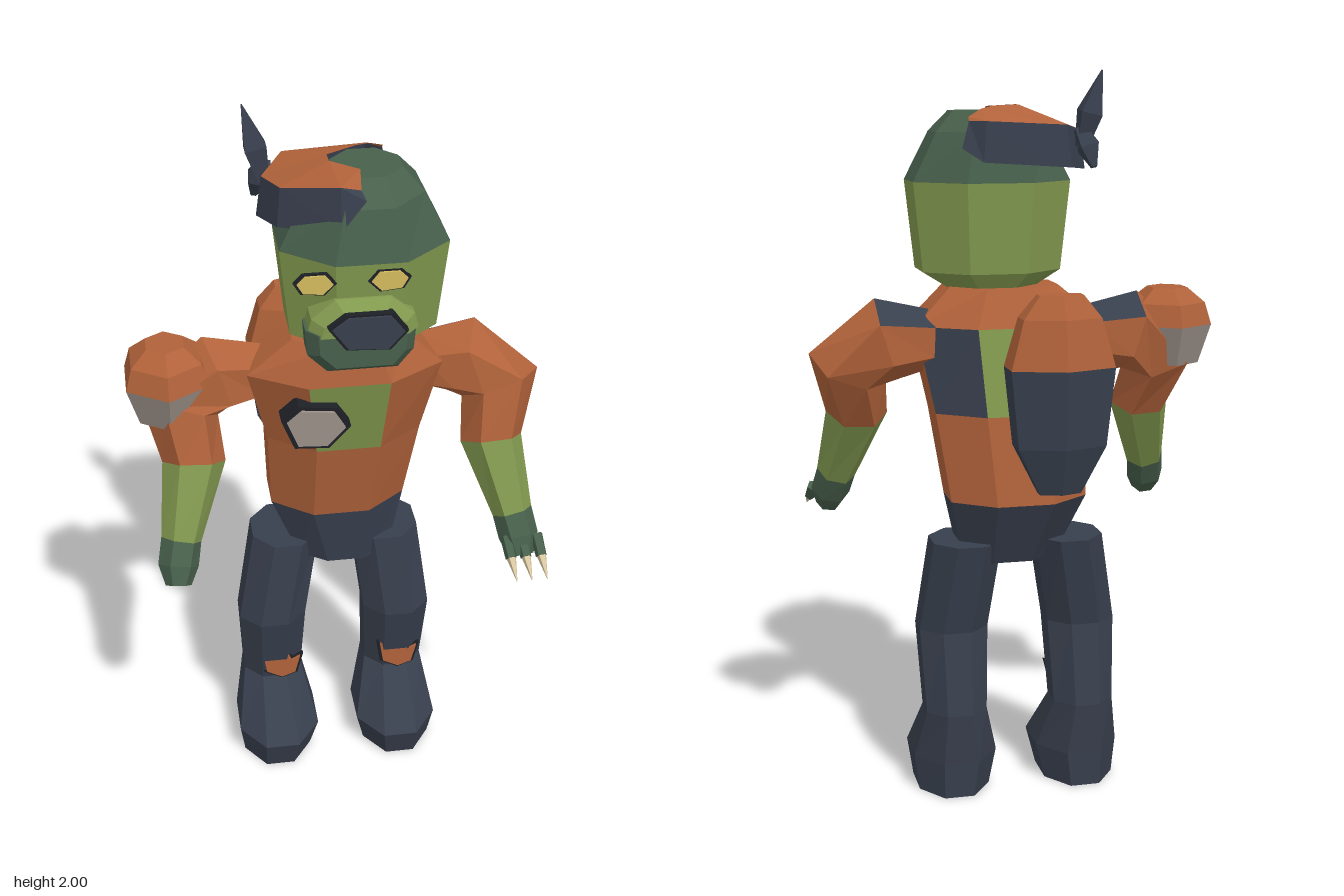
import * as THREE from 'three';

const mat = (name, color) => {
  const m = new THREE.MeshStandardMaterial({ color, flatShading: true, side: THREE.DoubleSide });
  m.name = name;
  return m;
};
const V = (x, y, z) => new THREE.Vector3(x, y, z);

export function createModel() {
  const root = new THREE.Group();
  const rust = mat('rust cloth', 0xb0623a);
  const green = mat('green skin', 0x82994f);
  const moss = mat('dark green skin', 0x48604c);
  const navy = mat('navy cloth', 0x383f4d);
  const dark = mat('dark outline', 0x1d2026);
  const gray = mat('gray metal', 0x9a9087);
  const yellow = mat('yellow eye', 0xd4b95c);
  const bone = mat('bone claw', 0xd8c6a0);

  const add = (name, geo, material, parent = root) => {
    const m = new THREE.Mesh(geo, material);
    m.name = name;
    parent.add(m);
    return m;
  };

  // Skin a list of rings; pick(segment, normal) chooses each face's material.
  function loft(name, rings, pick, parent = root) {
    const buckets = new Map();
    const tri = (m, a, b, c) => {
      if (!buckets.has(m)) buckets.set(m, []);
      buckets.get(m).push(...a, ...b, ...c);
    };
    const n = rings[0].length;
    for (let r = 0; r < rings.length - 1; r++) {
      for (let i = 0; i < n; i++) {
        const j = (i + 1) % n;
        const a = rings[r][i], b = rings[r][j], c = rings[r + 1][j], d = rings[r + 1][i];
        const normal = c.clone().sub(a).cross(d.clone().sub(b)).normalize();
        const m = pick(r, normal);
        tri(m, a, b, c);
        tri(m, a, c, d);
      }
    }
    const last = rings.length - 1;
    const first = rings[0], end = rings[last];
    for (let i = 1; i < n - 1; i++) {
      tri(pick(0, V(0, -1, 0)), first[0], first[i + 1], first[i]);
      tri(pick(last - 1, V(0, 1, 0)), end[0], end[i], end[i + 1]);
    }
    const g = new THREE.BufferGeometry(), all = [];
    [...buckets.values()].forEach((p, k) => {
      g.addGroup(all.length / 3, p.length / 3, k);
      for (const v of p) all.push(v);
    });
    g.setAttribute('position', new THREE.Float32BufferAttribute(all, 3));
    g.computeVertexNormals();
    return add(name, g, [...buckets.keys()], parent);
  }

  // Level ring filling the box x0..x1, z0..z1.
  function ring(y, x0, x1, z0, z1, n = 8, turn = Math.PI / n) {
    const ang = Array.from({ length: n }, (_, i) => turn + (i / n) * Math.PI * 2);
    const mx = Math.max(...ang.map(a => Math.abs(Math.cos(a))));
    const mz = Math.max(...ang.map(a => Math.abs(Math.sin(a))));
    return ang.map(a => V((x0 + x1) / 2 + (x1 - x0) / 2 * Math.cos(a) / mx, y,
      (z0 + z1) / 2 - (z1 - z0) / 2 * Math.sin(a) / mz));
  }

  // Rings square to a path of [x, y, z, radius].
  function pathRings(path, n) {
    return path.map((p, i) => {
      const a = path[Math.max(i - 1, 0)], b = path[Math.min(i + 1, path.length - 1)];
      const t = V(b[0] - a[0], b[1] - a[1], b[2] - a[2]).normalize();
      const u = V(0, 0, 1).addScaledVector(t, -t.z).normalize();
      const v = t.clone().cross(u);
      return Array.from({ length: n }, (_, k) => {
        const q = (k + 0.5) / n * Math.PI * 2;
        return V(p[0], p[1], p[2]).addScaledVector(u, Math.cos(q) * p[3]).addScaledVector(v, Math.sin(q) * p[3]);
      });
    });
  }

  // Flat plate from outline points around a centre, facing +z.
  function plate(name, cx, cy, z, pts, scale, depth, material) {
    const s = new THREE.Shape(pts.map(p => new THREE.Vector2(p[0] * scale, p[1] * scale)));
    const m = add(name, new THREE.ExtrudeGeometry(s, { depth, bevelEnabled: false }), material);
    m.position.set(cx, cy, z);
    return m;
  }

  // Torso, with skin showing through the chest and back
  loft('torso', [
    ring(0.68, -0.1, 0.16, -0.13, 0.05), ring(0.86, -0.175, 0.2, -0.215, 0.07),
    ring(1.1, -0.185, 0.235, -0.19, 0.115), ring(1.33, -0.24, 0.28, -0.15, 0.17),
    ring(1.43, -0.12, 0.18, -0.1, 0.15)
  ], (r, n) => {
    if (r === 0) return navy;
    if (r === 2 && Math.abs(n.z) > 0.85) return green;
    if (r === 2 && n.z < -0.3 && Math.abs(n.x) > 0.4) return navy;
    return rust;
  });

  // Head
  loft('head', [
    ring(1.42, -0.05, 0.17, -0.07, 0.15), ring(1.47, -0.13, 0.25, -0.105, 0.215),
    ring(1.71, -0.155, 0.275, -0.125, 0.237), ring(1.84, -0.09, 0.21, -0.1, 0.205),
    ring(1.895, -0.01, 0.16, -0.04, 0.14)
  ], r => (r < 2 ? green : moss));

  // Muzzle, jaw and mouth
  const muzzle = (name, pts, z, s, m) => loft(name, [
    pts.map(p => V(p[0], p[1], 0.17)), pts.map(p => V(p[0], p[1], 0.235)),
    pts.map(p => V(0.04 + (p[0] - 0.04) * s, 1.54 + (p[1] - 1.54) * s, z))
  ], () => m);
  muzzle('upperLip', [[-0.1, 1.53], [0.18, 1.53], [0.17, 1.57], [0.11, 1.62], [-0.03, 1.62], [-0.09, 1.57]], 0.272, 0.78, green);
  muzzle('jaw', [[-0.105, 1.54], [-0.1, 1.47], [-0.05, 1.42], [0.13, 1.42], [0.17, 1.47], [0.175, 1.54]], 0.268, 0.8, moss);
  const mouth = [[-0.09, 0.015], [-0.05, -0.04], [0.05, -0.045], [0.09, 0], [0.055, 0.045], [-0.05, 0.045]];
  plate('mouthRim', 0.045, 1.552, 0.265, mouth, 1.12, 0.025, dark);
  plate('mouth', 0.045, 1.552, 0.29, mouth, 1, 0.006, navy);

  // Eyes
  const eye = [[-0.045, 0.005], [-0.03, -0.02], [0.02, -0.025], [0.045, 0], [0.025, 0.025], [-0.025, 0.025]];
  for (const [x, s] of [[-0.08, 1], [0.105, -1]]) {
    const pts = s > 0 ? eye : eye.map(p => [-p[0], p[1]]);
    plate('eyeRim', x, 1.665, 0.228, pts, 1.2, 0.008, dark);
    plate('eye', x, 1.665, 0.236, pts, 1, 0.006, yellow);
  }

  // Torn head cloth: navy band round one side, rust cloth up to a ragged edge
  function strip(name, a, b, m) {
    const pos = [];
    for (let i = 0; i < a.length - 1; i++) {
      pos.push(...a[i], ...a[i + 1], ...b[i + 1], ...a[i], ...b[i + 1], ...b[i]);
    }
    const g = new THREE.BufferGeometry();
    g.setAttribute('position', new THREE.Float32BufferAttribute(pos, 3));
    g.computeVertexNormals();
    add(name, g, m);
  }
  const bandTop = [[0.04, 1.885, 0.19], [-0.01, 1.895, 0.19], [-0.145, 1.86, 0.09], [-0.18, 1.845, -0.02], [-0.115, 1.86, -0.135], [0.1, 1.87, -0.135], [0.14, 1.87, -0.1]];
  const bandLow = [[0.05, 1.865, 0.21], [-0.01, 1.79, 0.215], [-0.155, 1.76, 0.1], [-0.195, 1.74, -0.02], [-0.125, 1.75, -0.145], [0.11, 1.765, -0.145], [0.16, 1.8, -0.11]];
  const ragged = [[0.04, 1.895, 0.16], [0.05, 1.905, 0.11], [-0.02, 1.91, 0.06], [-0.02, 1.91, 0.02], [0.06, 1.908, -0.03], [0.1, 1.9, -0.06], [0.14, 1.88, -0.09]];
  strip('headBand', bandLow, bandTop, navy);
  strip('headCloth', bandTop, ragged, rust);
  loft('knotPoint', pathRings([[-0.165, 1.8, -0.09, 0.02], [-0.185, 1.89, -0.1, 0.04], [-0.215, 2.0, -0.11, 0.002]], 4), () => navy);
  loft('knotTail', pathRings([[-0.16, 1.85, -0.09, 0.02], [-0.18, 1.8, -0.11, 0.035], [-0.19, 1.75, -0.13, 0.01]], 4), () => navy);

  // Arms, with navy shoulder tops behind
  for (const s of [1, -1]) {
    const dx = s > 0 ? 0 : 0.035;
    const path = [
      [0.23, 1.29, -0.02, 0.08], [0.35, 1.295, -0.015, 0.115], [0.455, 1.22, 0.02, 0.11],
      [0.425, 1.08, 0.08, 0.085], [0.475, 0.89, 0.17, 0.055], [0.488, 0.83, 0.205, 0.055], [0.492, 0.785, 0.235, 0.035]
    ].map(p => [p[0] * s + dx, p[1], p[2], p[3]]);
    loft(s > 0 ? 'leftArm' : 'rightArm', pathRings(path, 6), (r, n) => {
      if (r === 0 && n.y > 0.1 && n.z < 0.3) return navy;
      return r < 3 ? rust : r < 4 ? green : moss;
    });
  }

  // Claws on the left hand
  for (const x of [0.455, 0.497, 0.54]) {
    loft('finger', pathRings([[x - 0.005, 0.84, 0.22, 0.018], [x, 0.8, 0.268, 0.016]], 5), () => moss);
    loft('claw', pathRings([[x, 0.805, 0.262, 0.015], [x + 0.004, 0.765, 0.328, 0.001]], 5), () => bone);
  }

  // Shoulder pad
  const level = (y, k, cx, cz, rx, rz) => ring(y, cx - rx * k, cx + rx * k, cz - rz * k, cz + rz * k, 6, Math.PI / 6);
  loft('shoulderPad', [[1.2, 0.72], [1.31, 1], [1.37, 0.85], [1.41, 0.45]]
    .map(([y, k]) => level(y, k, -0.447, 0.012, 0.108, 0.137)), r => (r === 0 ? gray : rust));

  // Backpack
  loft('backpack', [[0.9, 0.4], [1.03, 0.85], [1.24, 1], [1.37, 0.75], [1.43, 0.42]]
    .map(([y, k]) => level(y, k, -0.07, -0.242, 0.14, 0.092)), r => (r < 2 ? navy : rust));

  // Chest badge
  const badge = [[-0.08, 0.02], [-0.05, -0.055], [0.03, -0.06], [0.08, -0.005], [0.05, 0.045], [-0.04, 0.055]];
  plate('badgeRim', -0.072, 1.225, 0.13, badge, 1.15, 0.055, dark);
  plate('badge', -0.072, 1.225, 0.185, badge, 0.96, 0.008, gray);

  // Legs and torn knees
  const tear = [[-0.055, 0.035], [-0.045, -0.03], [0, -0.055], [0.04, -0.04], [0.055, 0.02], [0.03, 0.005], [0.012, 0.05], [-0.015, 0.03], [-0.035, 0.055]];
  for (const s of [1, -1]) {
    const top = s > 0 ? 0.15 : 0.135;
    loft(s > 0 ? 'leftLeg' : 'rightLeg', [
      [0, 0.183, 0.1, -0.13, 0.145], [0.1, 0.178, 0.118, -0.135, 0.18], [0.25, 0.183, 0.085, -0.15, 0.03],
      [0.48, 0.183, 0.096, -0.115, 0.075], [0.74, top, 0.095, -0.17, 0.045]
    ].map(([y, cx, rx, z0, z1]) => ring(y, s * cx - rx, s * cx + rx, z0, z1, 8)), () => navy);
    const kx = s > 0 ? 0.19 : -0.162;
    plate('kneeTearEdge', kx, 0.31, 0.022, tear, 1.18, 0.014, dark);
    plate('kneeTear', kx, 0.31, 0.036, tear, 1, 0.008, rust);
  }
  return root;
}
